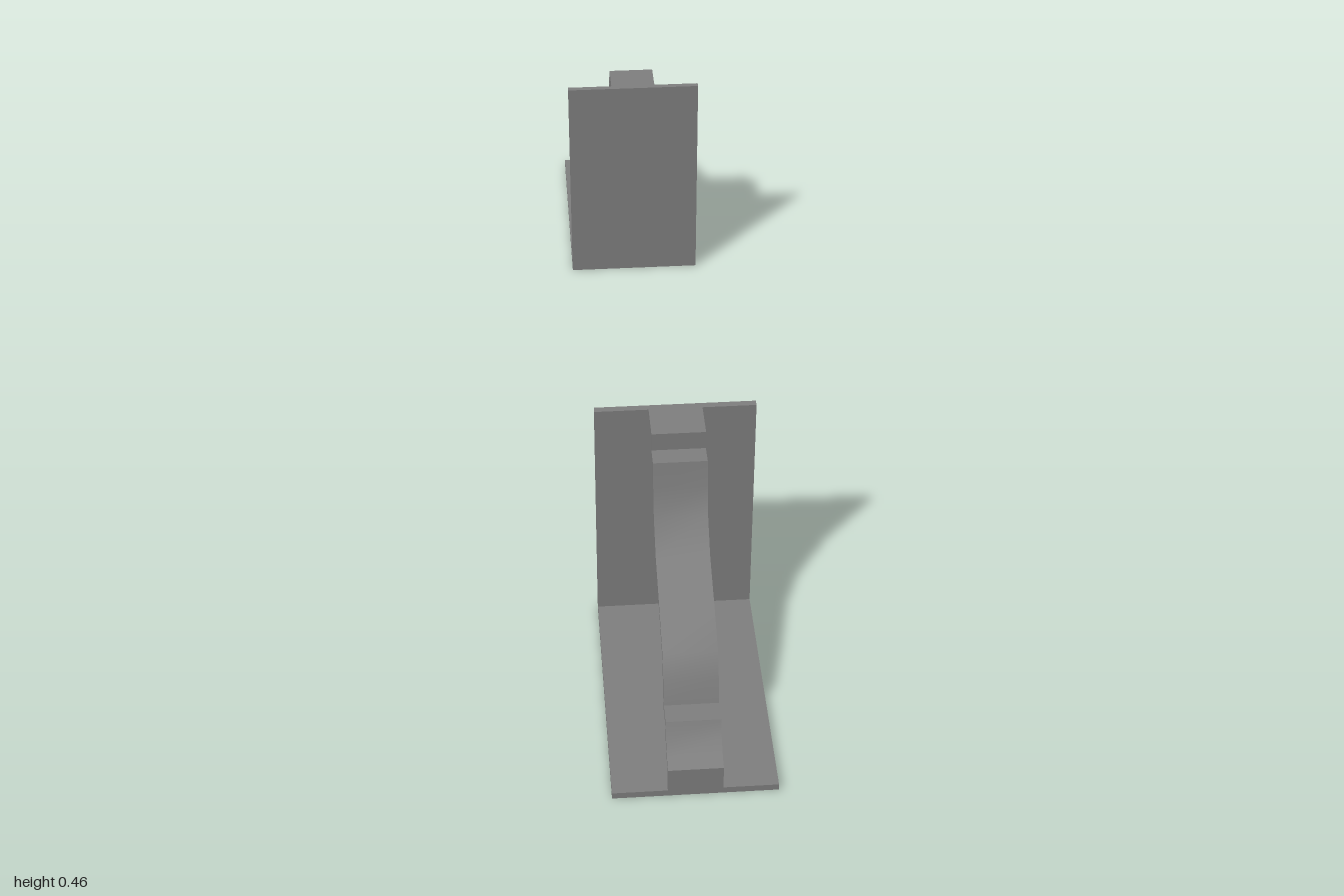
import * as THREE from 'three';
import { toCreasedNormals } from 'three/addons/utils/BufferGeometryUtils.js';

const PLATE = 0.012, WIDTH = 0.274, HEIGHT = 0.455, BACK = 0.545, FRONT = 1;
const RIM_WIDTH = 0.091, RIM = 0.011, WEB_WIDTH = 0.05;

// Bracket outline as (z, y), counter-clockwise
const outline = [
  [FRONT, 0], [FRONT, 0.058], [0.98, 0.064], [0.957, 0.085], [0.945, 0.113], [0.908, 0.113],
  [0.896, 0.155], [0.875, 0.198], [0.805, 0.235], [0.725, 0.272], [0.68, 0.322],
  [0.666, 0.375], [0.658, 0.421], [0.624, 0.421], [0.624, HEIGHT], [BACK, HEIGHT], [BACK, 0],
].map(([z, y]) => new THREE.Vector2(z, y));

// Small tapering opening, narrower at the bottom
const opening = [
  [0.69, 0.243], [0.662, 0.261], [0.653, 0.245], [0.643, 0.178], [0.664, 0.176], [0.678, 0.198],
].map(([z, y]) => new THREE.Vector2(z, y));

// Moves every edge of a closed polygon inwards by d, with mitred corners
function inset(points, d) {
  const n = points.length;
  const normal = (a, b) => new THREE.Vector2(a.y - b.y, b.x - a.x).normalize();
  return points.map((p, i) => {
    const n1 = normal(points[(i + n - 1) % n], p);
    const n2 = normal(p, points[(i + 1) % n]);
    return n1.clone().add(n2).multiplyScalar(d / (1 + n1.dot(n2))).add(p);
  });
}

// Extrudes a (z, y) outline with one hole across x, centred
function slab(points, hole, width) {
  const shape = new THREE.Shape(points);
  shape.holes.push(new THREE.Path(hole));
  const geometry = new THREE.ExtrudeGeometry(shape, { depth: width, bevelEnabled: false });
  geometry.translate(0, 0, -width / 2).rotateY(-Math.PI / 2);
  return toCreasedNormals(geometry, 0.7);
}

export function createModel() {
  const material = new THREE.MeshStandardMaterial({ color: 0x808080 });
  const depth = FRONT - BACK;
  const parts = {
    basePlate: new THREE.BoxGeometry(WIDTH, PLATE, depth)
      .translate(0, PLATE / 2, (FRONT + BACK) / 2),
    backPlate: new THREE.BoxGeometry(WIDTH, HEIGHT - PLATE, PLATE)
      .translate(0, (HEIGHT + PLATE) / 2, BACK + PLATE / 2),
    // Wide flange that follows the scrolled edge
    bracketRim: slab(outline, inset(outline, RIM), RIM_WIDTH),
    // Thinner pierced panel, tucked slightly into the flange
    bracketWeb: slab(inset(outline, RIM / 2), opening, WEB_WIDTH),
  };

  // Two matching bookends, back to back
  const model = new THREE.Group();
  model.name = 'bookendPair';
  ['frontBookend', 'rearBookend'].forEach((name, i) => {
    const bookend = new THREE.Group();
    bookend.name = name;
    for (const [part, geometry] of Object.entries(parts)) {
      const mesh = new THREE.Mesh(geometry, material);
      mesh.name = part;
      bookend.add(mesh);
    }
    bookend.rotation.y = i * Math.PI;
    model.add(bookend);
  });
  return model;
}
